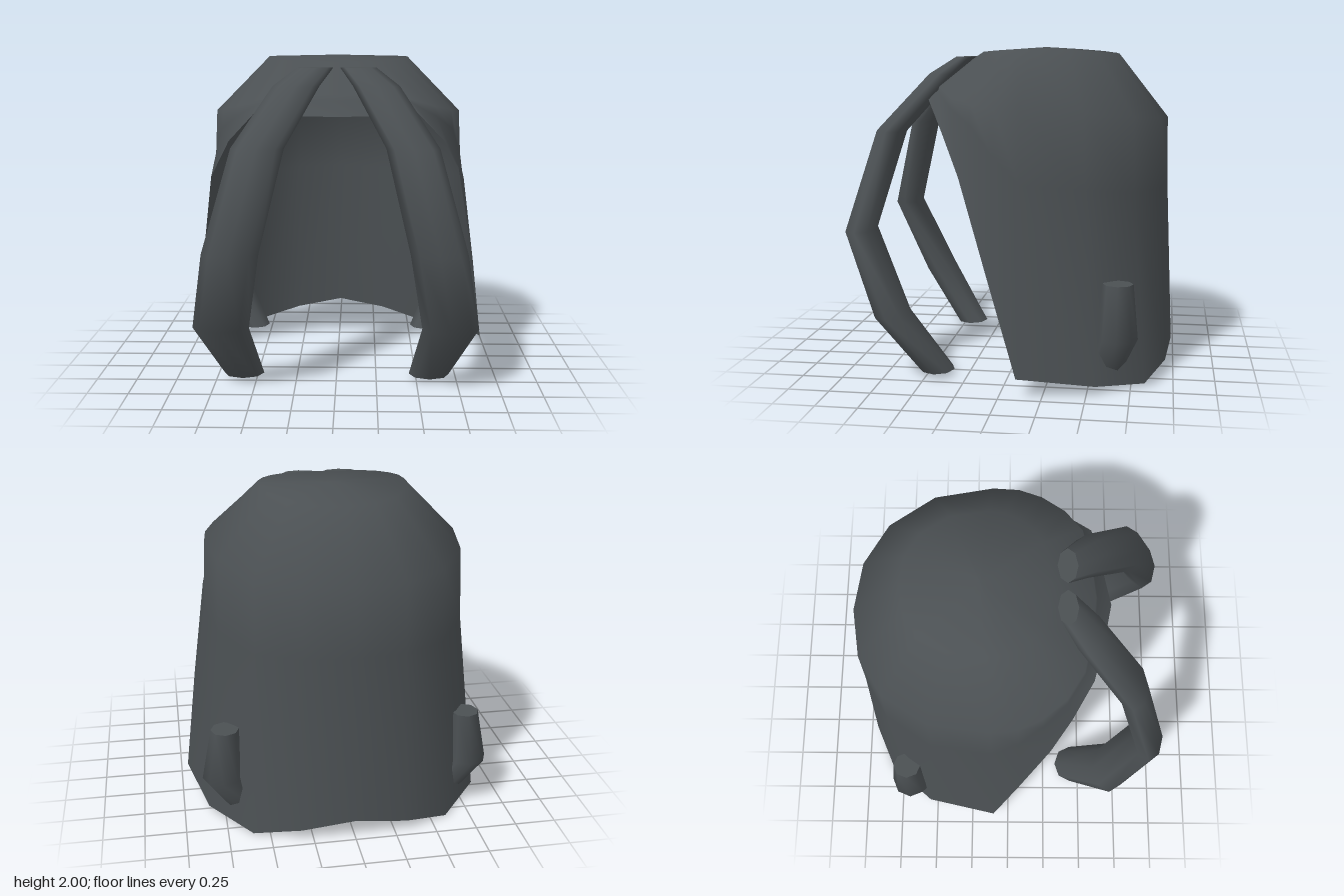
import * as THREE from 'three';

const charcoal = new THREE.MeshStandardMaterial({ color: 0x4b5053, side: THREE.DoubleSide });
charcoal.name = 'charcoal';

// Skins closed loops of points, listed from top to bottom, with smooth normals.
function loft(rows) {
  const n = rows[0].length, index = [];
  for (let j = 0; j < rows.length - 1; j++) {
    for (let i = 0; i < n; i++) {
      const k = (i + 1) % n;
      const a = j * n + i, b = j * n + k, c = a + n, d = b + n;
      index.push(a, b, c, b, d, c);
    }
  }
  const g = new THREE.BufferGeometry();
  g.setAttribute('position', new THREE.Float32BufferAttribute(rows.flat(2), 3));
  g.setIndex(index);
  g.computeVertexNormals();
  return g;
}

// Mirrors a half loop (back centre to front centre) into a full one.
function mirrorLoop(half) {
  const other = half.slice(1, -1).reverse().map(([x, y, z]) => [-x, y, z]);
  return [...half, ...other];
}

// Strand with horizontal oval sections; each stop is [x, y, z, rx, rz].
function strand(stops, side) {
  const sides = 8;
  const ring = ([x, y, z, rx, rz], scale = 1) => Array.from({ length: sides }, (_, i) => {
    const a = (i / sides) * Math.PI * 2;
    return [side * x + Math.cos(a) * rx * scale, y, z + Math.sin(a) * rz * scale];
  });
  const first = stops[0], last = stops[stops.length - 1];
  // The end rings are doubled so the caps keep a sharp edge.
  return loft([ring(first, 0), ring(first), ...stops.map((s) => ring(s)), ring(last), ring(last, 0)]);
}

export function createModel() {
  const group = new THREE.Group();
  const add = (name, geometry) => {
    const mesh = new THREE.Mesh(geometry, charcoal);
    mesh.name = name;
    group.add(mesh);
  };

  // Hood: lower hem rising along the front opening to the brow
  const hem = [
    [0, 0.12, -0.985], [0.32, 0.065, -0.95], [0.6, 0, -0.83], [0.85, 0.05, -0.55],
    [0.96, 0.11, -0.1], [0.88, 0.68, 0.08], [0.79, 1.25, 0.26], [0.66, 1.49, 0.38],
    [0.48, 1.68, 0.5], [0.2, 1.66, 0.57], [0, 1.66, 0.61],
  ];
  // Widest ring of the crown
  const shoulder = [
    [0, 1.56, -0.935], [0.3, 1.57, -0.89], [0.55, 1.59, -0.74], [0.73, 1.62, -0.46],
    [0.785, 1.64, -0.1], [0.77, 1.65, 0.06], [0.71, 1.67, 0.2], [0.6, 1.7, 0.34],
    [0.45, 1.75, 0.44], [0.2, 1.78, 0.49], [0, 1.78, 0.51],
  ];
  // Hem sides hang nearly straight before flaring out
  const waist = hem.map((p, i) => {
    const q = shoulder[i];
    return [p[0] + (q[0] - p[0]) * 0.88, p[1] + (q[1] - p[1]) * 0.72, p[2] + (q[2] - p[2]) * 0.88];
  });
  // Flat top of the crown
  const top = shoulder.map(([x, , z]) => {
    const t = (z + 0.16) * 0.6;
    return [x * 0.57, 1.985 - t * t * 0.14, -0.16 + t];
  });
  const apex = hem.map(() => [0, 1.995, -0.16]);
  add('hood', loft([apex, top, shoulder, waist, hem].map(mirrorLoop)));

  for (const [label, side] of [['left', 1], ['right', -1]]) {
    // Long front strand bowing forward from the crown
    add(label + 'FrontStrand', strand([
      [0.13, 1.935, 0.34, 0.11, 0.06],
      [0.24, 1.83, 0.46, 0.14, 0.09],
      [0.45, 1.49, 0.74, 0.155, 0.095],
      [0.6, 0.9, 0.9, 0.165, 0.095],
      [0.69, 0.4, 0.69, 0.17, 0.11],
      [0.58, 0.03, 0.44, 0.125, 0.105],
    ], side));
    // Short rear strand poking through the hood near the hem
    add(label + 'RearStrand', strand([
      [0.74, 0.64, -0.67, 0.085, 0.09],
      [0.765, 0.32, -0.67, 0.12, 0.12],
      [0.61, 0.04, -0.57, 0.1, 0.105],
    ], side));
  }
  return group;
}
